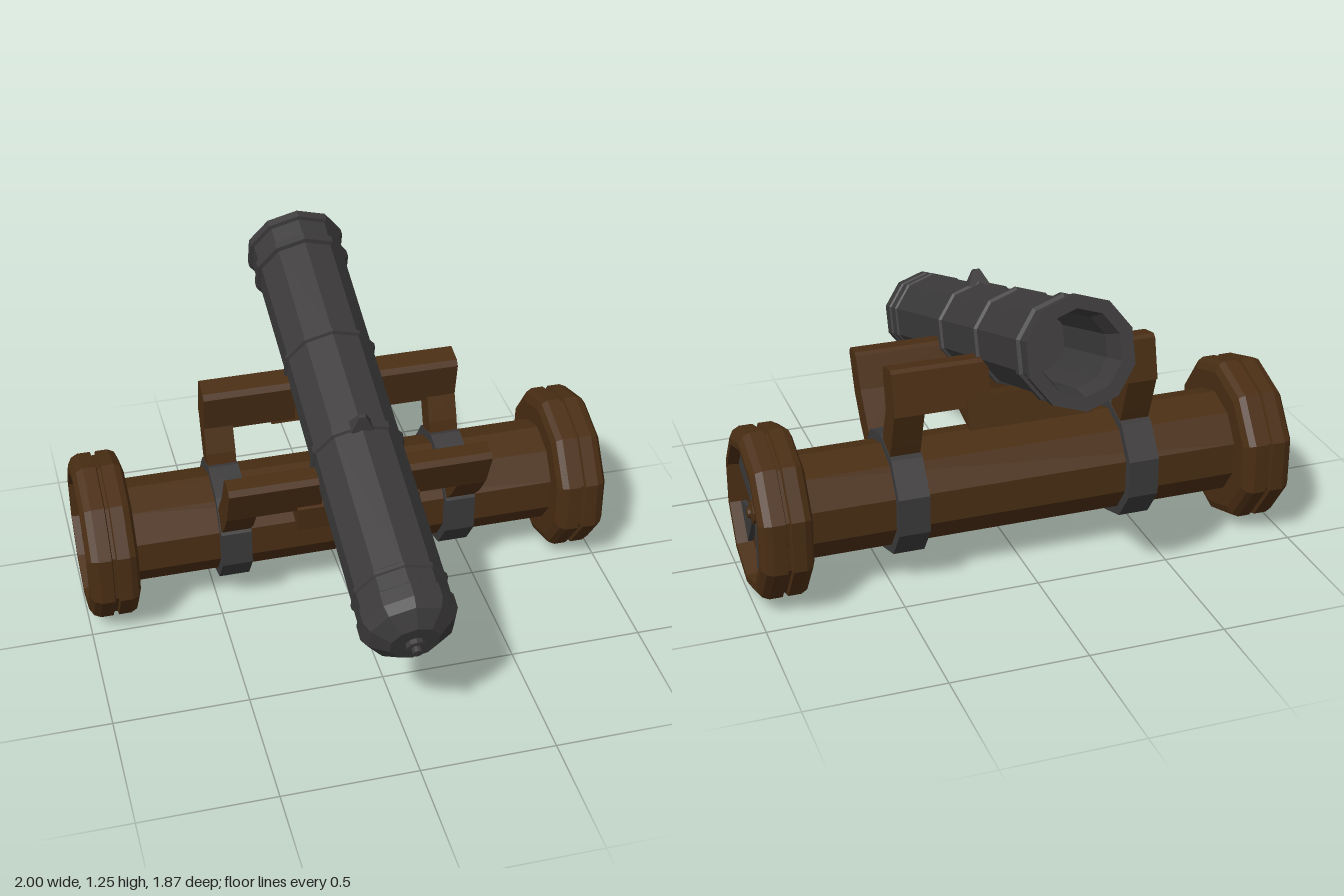
import * as THREE from 'three';

const mat = (color) => new THREE.MeshStandardMaterial({ color, flatShading: true, roughness: 0.9 });
const SIDES = 10;

export function createModel() {
  const model = new THREE.Group();
  const wood = mat(0x4a2e14);
  const iron = mat(0x3c3a3a);

  const add = (parent, name, geometry, material) => {
    const mesh = new THREE.Mesh(geometry, material);
    mesh.name = name;
    parent.add(mesh);
    return mesh;
  };
  // Ten-sided turned part from [radius, height] pairs
  const turned = (profile) =>
    new THREE.LatheGeometry(profile.map(([r, h]) => new THREE.Vector2(r, h)), SIDES);
  // Side outline of [z, y] pairs, extruded from x0 to x1
  const prism = (outline, x0, x1) => {
    const shape = new THREE.Shape(outline.map(([z, y]) => new THREE.Vector2(-z, y)));
    const g = new THREE.ExtrudeGeometry(shape, { depth: x1 - x0, bevelEnabled: false });
    return g.rotateY(Math.PI / 2).translate(x0, 0, 0);
  };

  // Barrel, tilted up towards the back; local +y runs from breech to muzzle
  const barrel = new THREE.Group();
  barrel.name = 'barrel';
  barrel.position.set(0, 0.49, 0.925);
  barrel.rotation.x = -THREE.MathUtils.degToRad(72.1);
  model.add(barrel);
  add(barrel, 'barrelBody', turned([
    [0, 0.03], [0.09, 0.03], [0.155, 0.075], [0.175, 0.11], [0.175, 0.165],
    [0.168, 0.17], [0.168, 0.23], [0.175, 0.235], [0.175, 0.25], [0.168, 0.255],
    [0.168, 0.83], [0.178, 0.835], [0.178, 0.865], [0.168, 0.87],
    [0.169, 1.275], [0.18, 1.28], [0.18, 1.295], [0.169, 1.3],
    [0.172, 1.735], [0.188, 1.74], [0.188, 1.77], [0.175, 1.775],
    [0.178, 1.85], [0.192, 1.855], [0.192, 1.885],
    [0.145, 1.885], [0.125, 1.8], [0.125, 1.4], [0, 1.4],
  ]), iron);
  add(barrel, 'breechKnob', turned([
    [0, -0.01], [0.018, -0.01], [0.018, 0.01], [0.035, 0.012], [0.035, 0.035],
  ]), iron);
  const lug = add(barrel, 'sightLug', new THREE.CylinderGeometry(0.018, 0.06, 0.06, 4), iron);
  lug.geometry.rotateY(Math.PI / 4).scale(1, 1, 0.6);
  lug.rotation.x = Math.PI / 2;
  lug.position.set(0, 0.845, 0.19);

  // Axle and wheels
  const axleHeight = 0.315, axleZ = -0.205;
  const carriage = new THREE.Group();
  carriage.name = 'carriage';
  carriage.position.set(0, axleHeight, axleZ);
  model.add(carriage);
  const alongX = (g) => g.rotateY(Math.PI / 2).rotateZ(-Math.PI / 2);
  add(carriage, 'axle', alongX(new THREE.CylinderGeometry(0.195, 0.195, 1.64, SIDES)), wood);

  const spoke = new THREE.Shape();
  const a = Math.PI / SIDES;
  spoke.moveTo(0.03, -0.01);
  spoke.lineTo(0.243 * Math.cos(a), -0.243 * Math.sin(a));
  spoke.lineTo(0.243 * Math.cos(a), 0.243 * Math.sin(a));
  spoke.lineTo(0.03, 0.01);

  for (const side of [1, -1]) {
    const label = side > 0 ? 'left' : 'right';

    // Wheel, local +z pointing outwards
    const wheel = new THREE.Group();
    wheel.name = label + 'Wheel';
    wheel.rotation.y = side * Math.PI / 2;
    carriage.add(wheel);
    add(wheel, 'rim', turned([
      [0, 0.81], [0.27, 0.81], [0.3, 0.822], [0.312, 0.845], [0.312, 0.892],
      [0.298, 0.896], [0.298, 0.908], [0.312, 0.912], [0.312, 0.96], [0.3, 0.985],
      [0.275, 1], [0.25, 1], [0.243, 0.94], [0, 0.94],
    ]).rotateX(Math.PI / 2), wood);
    for (let i = 0; i < 5; i++) {
      const s = add(wheel, 'spoke', new THREE.ExtrudeGeometry(spoke, { depth: 0.025, bevelEnabled: false }), iron);
      s.position.z = 0.935;
      s.rotation.z = i * Math.PI * 2 / 5;
    }
    add(wheel, 'hub', turned([
      [0.042, 0.93], [0.042, 0.97], [0.02, 0.975], [0.018, 0.985], [0, 0.985],
    ]).rotateX(Math.PI / 2), wood);

    // Iron band round the axle
    const band = add(carriage, label + 'Band', alongX(new THREE.CylinderGeometry(0.23, 0.23, 0.115, SIDES)), iron);
    band.position.x = side * 0.435;

    // Bent arms rising from the band, and rests reaching in to the barrel
    const span = (lo, hi) => (side > 0 ? [lo, hi] : [-hi, -lo]);
    add(model, label + 'FrontArm', prism(
      [[0.135, 0.55], [0.055, 0.6], [-0.06, 0.45], [0.0, 0.39], [0.07, 0.46]], ...span(0.38, 0.49)), wood);
    add(model, label + 'RearArm', prism(
      [[-0.28, 0.68], [-0.385, 0.7], [-0.335, 0.55], [-0.3, 0.46], [-0.22, 0.48], [-0.24, 0.58]],
      ...span(0.38, 0.49)), wood);
    add(model, label + 'FrontRest', prism(
      [[0.2, 0.695], [0.185, 0.715], [0.125, 0.72], [0.11, 0.71], [0.05, 0.59], [0.135, 0.545]],
      ...span(0.14, 0.49)), wood);
    add(model, label + 'RearRest', prism(
      [[-0.25, 0.815], [-0.265, 0.835], [-0.34, 0.85], [-0.355, 0.84], [-0.39, 0.69], [-0.28, 0.66]],
      ...span(0.14, 0.49)), wood);
  }

  // Saddles beneath the barrel
  add(model, 'frontSaddle', prism(
    [[0.145, 0.46], [0.155, 0.56], [0.04, 0.6], [0.03, 0.5]], -0.23, 0.23), wood);
  add(model, 'rearSaddle', prism(
    [[-0.28, 0.65], [-0.29, 0.7], [-0.39, 0.73], [-0.42, 0.615]], -0.23, 0.23), wood);

  return model;
}
